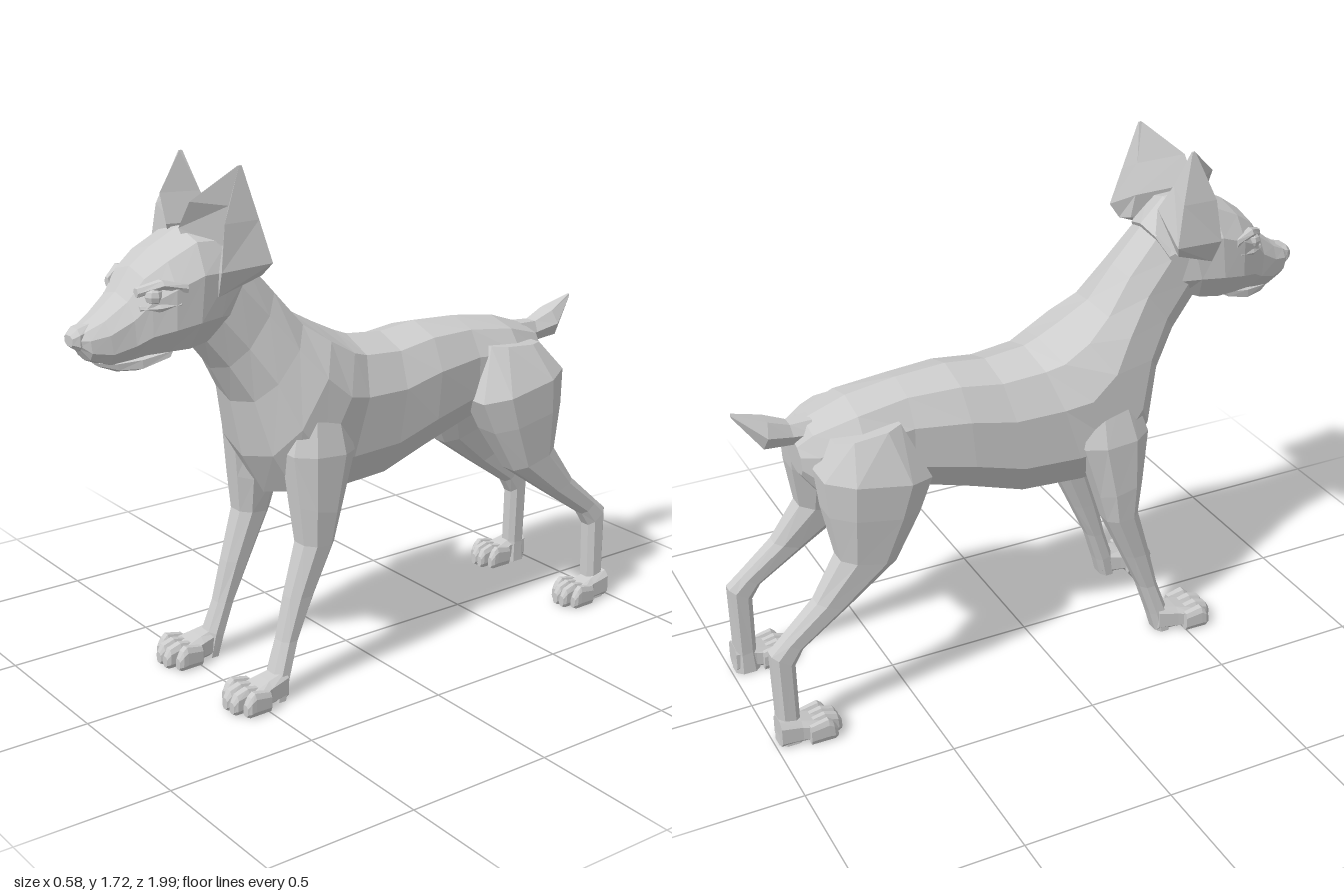
import * as THREE from 'three';

const coat = new THREE.MeshStandardMaterial({ color: 0xcccccc, flatShading: true });
coat.name = 'grey coat';

// Skin a list of equal-length point rings, cap both ends and face outwards
function loft(name, rings) {
  const n = rings[0].length, tris = [];
  const centre = (r) => r[0].map((_, k) => r.reduce((s, p) => s + p[k], 0) / n);
  const last = rings[rings.length - 1], c0 = centre(rings[0]), c1 = centre(last);
  for (let j = 0; j < n; j++) {
    const k = (j + 1) % n;
    for (let i = 0; i < rings.length - 1; i++) {
      const a = rings[i], b = rings[i + 1];
      tris.push([a[j], a[k], b[k]], [a[j], b[k], b[j]]);
    }
    tris.push([c0, rings[0][k], rings[0][j]], [c1, last[j], last[k]]);
  }
  let volume = 0;
  const v = (p) => new THREE.Vector3(...p).sub(new THREE.Vector3(...c0));
  for (const [a, b, c] of tris) volume += v(a).dot(v(b).cross(v(c)));
  if (volume < 0) tris.forEach((t) => t.reverse());
  const geo = new THREE.BufferGeometry();
  geo.setAttribute('position', new THREE.Float32BufferAttribute(tris.flat(2), 3));
  geo.computeVertexNormals();
  const mesh = new THREE.Mesh(geo, coat);
  mesh.name = name;
  return mesh;
}

// Tilted oval ring: z,y of one end, z,y of the other, half width, centre x
function oval([z1, y1, z2, y2, w, x = 0], side = 1, n = 10, power = 0.85) {
  const soft = (t) => Math.sign(t) * Math.pow(Math.abs(t), power);
  return Array.from({ length: n }, (_, i) => {
    const a = (i + (n === 10 ? 0 : 0.5)) / n * Math.PI * 2;
    const c = soft(Math.cos(a)) / 2, s = soft(Math.sin(a));
    return [side * (x + w * s), (y1 + y2) / 2 + (y1 - y2) * c, (z1 + z2) / 2 + (z1 - z2) * c];
  });
}
const ovalLoft = (name, rows, side, n, power) =>
  loft(name, rows.map((r) => oval(r, side, n, power)));

// Sole pad and four toes, with the heel at z and the centre at x
function paw(name, side, x, z, s) {
  const group = new THREE.Group();
  group.name = name;
  group.add(ovalLoft('pawPad', [
    [z, 0.1, z, 0, 0.042, x],
    [z + 0.07, 0.085, z + 0.07, 0, 0.055 * s, x],
    [z + 0.14, 0.065, z + 0.14, 0, 0.072 * s, x],
  ], side, 8, 0.6));
  for (let i = 0; i < 4; i++) {
    const tx = x + (i - 1.5) * 0.041 * s, reach = (i === 1 || i === 2) ? 0.205 : 0.18;
    group.add(ovalLoft('toe', [
      [z + 0.09, 0.07, z + 0.09, 0, 0.017 * s, tx],
      [z + 0.15, 0.083, z + 0.15, 0, 0.021 * s, tx],
      [z + reach - 0.015, 0.07, z + reach - 0.01, 0, 0.021 * s, tx],
      [z + reach, 0.045, z + reach, 0.005, 0.014 * s, tx],
    ], side, 8, 0.7));
  }
  return group;
}

export function createModel() {
  const dog = new THREE.Group();
  dog.name = 'dog';

  // Neck, chest, belly and rump
  dog.add(ovalLoft('body', [
    [0.42, 1.43, 0.60, 1.17, 0.12],
    [0.32, 1.32, 0.52, 1.07, 0.135],
    [0.23, 1.21, 0.45, 0.95, 0.175],
    [0.14, 1.16, 0.41, 0.76, 0.225],
    [0.05, 1.115, 0.33, 0.62, 0.23],
    [0.00, 1.095, 0.16, 0.59, 0.205],
    [-0.14, 1.08, -0.06, 0.60, 0.19],
    [-0.28, 1.095, -0.24, 0.66, 0.18],
    [-0.45, 1.085, -0.45, 0.72, 0.155],
    [-0.62, 1.06, -0.62, 0.74, 0.17],
    [-0.76, 1.01, -0.74, 0.76, 0.13],
    [-0.80, 0.95, -0.79, 0.83, 0.07],
  ]));

  // Docked tail
  dog.add(ovalLoft('tail', [
    [-0.74, 1.02, -0.74, 0.93, 0.05],
    [-0.81, 1.015, -0.80, 0.935, 0.04],
    [-0.88, 1.045, -0.90, 0.945, 0.053],
    [-0.985, 1.08, -0.985, 1.065, 0.006],
  ], 1, 6));

  // Skull and muzzle
  dog.add(ovalLoft('head', [
    [0.42, 1.44, 0.56, 1.18, 0.12],
    [0.50, 1.52, 0.60, 1.16, 0.16],
    [0.62, 1.53, 0.66, 1.15, 0.175],
    [0.72, 1.48, 0.73, 1.155, 0.165],
    [0.79, 1.43, 0.79, 1.155, 0.135],
    [0.84, 1.36, 0.83, 1.15, 0.11],
    [0.91, 1.305, 0.89, 1.145, 0.085],
    [0.96, 1.275, 0.95, 1.17, 0.06],
    [0.985, 1.255, 0.975, 1.21, 0.035],
  ]));
  dog.add(ovalLoft('lowerJaw', [
    [0.70, 1.19, 0.72, 1.15, 0.10],
    [0.80, 1.18, 0.80, 1.12, 0.085],
    [0.88, 1.17, 0.86, 1.125, 0.06],
    [0.92, 1.165, 0.91, 1.145, 0.03],
  ], 1, 8));
  dog.add(ovalLoft('nose', [
    [0.94, 1.285, 0.94, 1.21, 0.035],
    [0.98, 1.275, 0.98, 1.205, 0.04],
    [1.0, 1.255, 0.998, 1.22, 0.026],
  ], 1, 8, 0.7));

  for (const side of [1, -1]) {
    const label = side > 0 ? 'left' : 'right';
    const named = (part) => label + part;

    // Cupped ear: inner front, hollow, outer front, outer back, inner back
    const ear = [
      [[0.06, 1.43, 0.61], [0.11, 1.40, 0.56], [0.17, 1.34, 0.59], [0.19, 1.39, 0.45], [0.08, 1.43, 0.43]],
      [[0.035, 1.53, 0.64], [0.12, 1.48, 0.54], [0.205, 1.42, 0.60], [0.22, 1.43, 0.43], [0.07, 1.51, 0.44]],
      [[0.085, 1.615, 0.63], [0.14, 1.60, 0.53], [0.195, 1.56, 0.58], [0.195, 1.56, 0.46], [0.115, 1.60, 0.47]],
      [[0.162, 1.72, 0.51], [0.165, 1.72, 0.505], [0.168, 1.72, 0.51], [0.168, 1.72, 0.5], [0.162, 1.72, 0.5]],
    ];
    dog.add(loft(named('Ear'), ear.map((r) => r.map(([x, y, z]) => [side * x, y, z]))));

    // Eye and its lids
    const eye = new THREE.Mesh(new THREE.SphereGeometry(0.03, 8, 6), coat);
    eye.name = named('Eye');
    eye.position.set(side * 0.113, 1.36, 0.775);
    dog.add(eye);
    dog.add(ovalLoft(named('Brow'), [
      [0.69, 1.395, 0.69, 1.365, 0.012, 0.158],
      [0.76, 1.41, 0.76, 1.38, 0.022, 0.128],
      [0.82, 1.385, 0.82, 1.355, 0.014, 0.085],
    ], side, 6));
    dog.add(ovalLoft(named('LowerLid'), [
      [0.71, 1.345, 0.71, 1.325, 0.012, 0.15],
      [0.77, 1.34, 0.77, 1.315, 0.016, 0.13],
      [0.82, 1.335, 0.82, 1.315, 0.01, 0.102],
    ], side, 6));

    // Front leg from shoulder to wrist
    dog.add(ovalLoft(named('FrontLeg'), [
      [0.30, 0.98, 0.14, 0.96, 0.05, 0.15],
      [0.36, 0.80, 0.11, 0.78, 0.08, 0.172],
      [0.34, 0.63, 0.17, 0.59, 0.073, 0.18],
      [0.325, 0.50, 0.20, 0.49, 0.06, 0.185],
      [0.375, 0.33, 0.275, 0.33, 0.048, 0.185],
      [0.41, 0.19, 0.34, 0.19, 0.042, 0.188],
      [0.445, 0.09, 0.38, 0.07, 0.046, 0.195],
      [0.46, 0, 0.40, 0, 0.045, 0.2],
    ], side, 8));
    dog.add(paw(named('FrontPaw'), side, 0.203, 0.405, 1));

    // Hind leg from haunch to hock and heel
    dog.add(ovalLoft(named('HindLeg'), [
      [-0.49, 1.0, -0.72, 0.98, 0.06, 0.12],
      [-0.41, 0.82, -0.785, 0.89, 0.105, 0.155],
      [-0.46, 0.71, -0.775, 0.77, 0.09, 0.167],
      [-0.55, 0.56, -0.745, 0.61, 0.06, 0.185],
      [-0.72, 0.44, -0.83, 0.48, 0.043, 0.198],
      [-0.88, 0.33, -0.945, 0.375, 0.035, 0.205],
      [-0.91, 0.28, -0.99, 0.335, 0.036, 0.208],
      [-0.91, 0.08, -0.985, 0.07, 0.036, 0.213],
      [-0.90, 0, -0.99, 0, 0.042, 0.215],
    ], side, 8, 0.75));
    dog.add(paw(named('HindPaw'), side, 0.225, -0.985, 0.8));
  }
  return dog;
}
